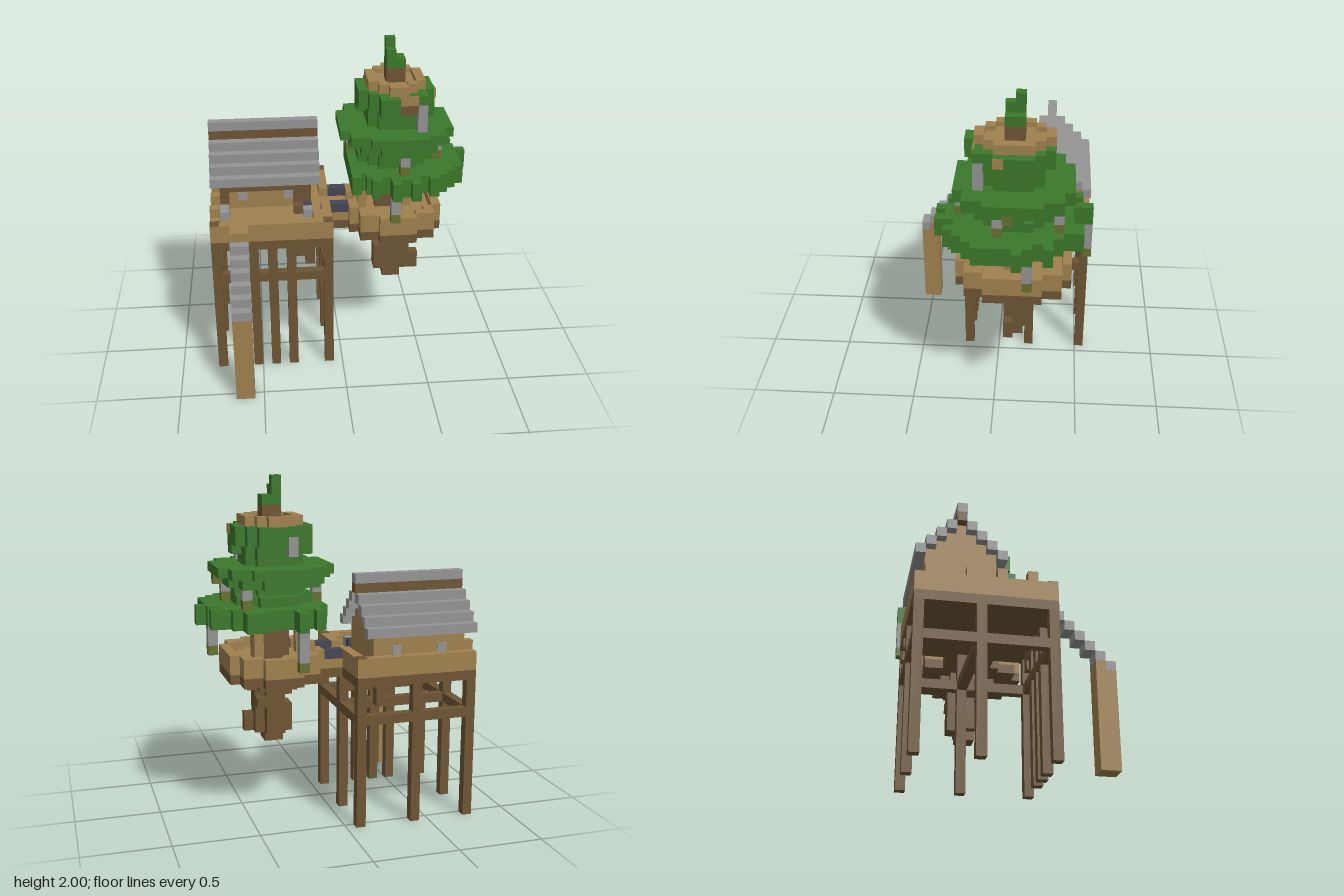
import * as THREE from 'three';
import { mergeGeometries } from 'three/addons/utils/BufferGeometryUtils.js';

const U = 1 / 18; // edge of one block
const paint = (name, color) => {
  const m = new THREE.MeshStandardMaterial({ color });
  m.name = name;
  return m;
};

export function createModel() {
  const tan = paint('plankTan', 0xa0814e), dark = paint('barkBrown', 0x6e5535), grey = paint('stoneGrey', 0x949494);
  const green = paint('leafGreen', 0x3b782b), navy = paint('railNavy', 0x454654), olive = paint('mossOlive', 0x667030);
  const model = new THREE.Group();

  // A part is a list of block ranges [x0, x1, y0, y1, z0, z1]
  const add = (name, mat, list) => {
    const geos = list.map(([x0, x1, y0, y1, z0, z1]) =>
      new THREE.BoxGeometry(x1 - x0, y1 - y0, z1 - z0)
        .translate((x0 + x1) / 2, (y0 + y1) / 2, (z0 + z1) / 2).scale(U, U, U));
    const mesh = new THREE.Mesh(mergeGeometries(geos), mat);
    mesh.name = name;
    model.add(mesh);
  };

  // Blocky oval around the tree axis, one row of blocks per z; p > 2 makes it squarer
  const CX = 6, CZ = -2;
  const half = (rx, rz, d, p) => (Math.abs(d) < rz ? Math.round(rx * (1 - (Math.abs(d) / rz) ** p) ** (1 / p)) : 0);
  const disc = (rx, rz, y0, y1, p = 2) => {
    const out = [];
    for (let z = CZ - rz; z < CZ + rz; z++) {
      const h = half(rx, rz, z + 0.5 - CZ, p);
      out.push([CX - h, CX + h, y0, y1, z, z + 1]);
    }
    return out;
  };
  // Rim one block wide around such an oval, with an optional gap on the bridge side
  const rim = (rx, rz, y0, y1, p, gap) => {
    const out = [];
    for (let z = CZ - rz; z < CZ + rz; z++) {
      const d = z + 0.5 - CZ, o = half(rx, rz, d, p), i = half(rx - 1, rz - 1, d, p);
      if (!i) { out.push([CX - o, CX + o, y0, y1, z, z + 1]); continue; }
      if (Math.abs(d) > gap) out.push([CX - o, CX - i, y0, y1, z, z + 1]);
      out.push([CX + i, CX + o, y0, y1, z, z + 1]);
    }
    return out.filter(([x0, x1]) => x1 > x0);
  };

  // Stilts and their cross beams
  const feet = [[-14, 3], [-10, 3], [-8, 3], [-6, 3], [-2, 3], [-14, -4], [-2, -4], [-14, -10], [-8, -10], [-2, -10]];
  add('stilts', dark, feet.map(([x, z]) => [x, x + 1, 0, 15, z, z + 1]));
  const beams = [];
  for (const z of [3, -4, -10]) beams.push([-14, -1, 11, 12, z, z + 1]);
  for (const x of [-14, -2]) beams.push([x, x + 1, 11, 12, -10, 4]);
  add('crossBeams', dark, beams);
  add('braces', dark, [3, -10].flatMap((z) => [[-5, -3, 14, 15, z, z + 1], [-4, -3, 13, 14, z, z + 1]]));

  // House platform with low rim
  add('platformBase', dark, [[-14, -1, 15, 16, -10, 4]]);
  add('platformFloor', tan, [[-14, -1, 16, 17, -10, 4]]);
  add('platformRim', tan, [
    [-14, -12, 17, 18, 3, 4], [-10, -1, 17, 18, 3, 4], [-14, -1, 17, 18, -10, -9],
    [-14, -13, 17, 18, -9, 3], [-2, -1, 17, 18, -9, -4], [-2, -1, 17, 18, -1, 3], [-3, -2, 17, 18, 1, 3],
    [-14, -13, 18, 19, -9, -8], [-14, -13, 18, 19, -5, -4], [-14, -13, 18, 19, -2, -1], [-14, -13, 18, 19, 1, 2]]);
  add('cornerCaps', dark, [[-14, -13, 18, 18.1, 3, 4], [-2, -1, 18, 18.1, 3, 4], [-2, -1, 18, 18.1, -10, -9]]);
  add('stoneBench', grey, [[-13, -12, 17, 18, -1, 1], [-4, -3, 17, 18, 0, 1]]);
  add('barrel', dark, [[-5, -4, 17, 18, -1, 0]]);
  add('anvil', navy, [[-4, -3, 17, 18, -1, 0]]);

  // House walls, gables and trim
  const walls = [[-13, -3, 17, 20, -9, -2]];
  for (let j = 0; j < 4; j++) walls.push([-13, -3, 20 + j, 21 + j, -9 + j, -2 - j]);
  add('houseWalls', tan, walls);
  add('frontTimber', dark, [[-13, -3, 19, 20, -2, -1.9], [-5, -3, 17, 19, -2, -1.9], [-13, -12, 17, 19, -2, -1.9]]);
  add('windows', grey, [[-11, -10, 18, 19, -2, -1.85], [-6, -5, 18, 19, -2, -1.85],
    [-11, -10, 18, 19, -9.1, -9], [-6, -5, 18, 19, -9.1, -9]]);

  // Stepped roof
  const roof = [[-14, -2, 25, 26, -6, -5]];
  for (let j = 0; j < 4; j++) {
    roof.push([-14, -2, 20 + j, 21 + j, -2 - j, -1 - j], [-14, -2, 20 + j, 21 + j, -10 + j, -9 + j]);
  }
  add('roofSteps', grey, roof);
  add('ridgeBeam', dark, [[-14, -2, 24, 25, -6, -5]]);

  // Stairs down to a tall pier
  const steps = [];
  for (let i = 0; i < 6; i++) steps.push([-12, -10, 15 - i, 16 - i, 4 + i, 5 + i]);
  add('stairs', grey, steps);
  add('stairPier', tan, [[-12, -10, 0, 11, 8, 9], [-12, -10, 0, 10, 9, 10]]);

  // Bridge to the tree
  add('bridgeBase', dark, [[-1, 1, 15, 16, -5, 0]]);
  add('bridgeFloor', tan, [[-1, 1, 16, 17, -5, 0]]);
  add('bridgeRails', navy, [[-1, 1, 17, 18, -5, -4], [-1, 1, 17, 18, -1, 0]]);

  // Oval tree deck
  add('deckBase', dark, disc(5, 6, 15, 16, 2.4));
  add('deckFloor', tan, disc(5, 6, 16, 17, 2.4));
  add('deckRim', tan, rim(5, 6, 17, 18, 2.4, 1));
  add('deckPosts', tan, [[2, 3, 17, 20, -1, 0], [2, 3, 17, 19, -5, -4]]);

  // Trunk, roots below and the crown stem
  add('trunk', dark, [[5, 7, 8, 33, -3, -1], [4, 5, 17, 21, -2, -1]]);
  add('trunkBark', tan, [[7, 8, 17, 21, -3, -1], [6, 7, 17, 20, -1, 0]]);
  add('roots', dark, [...disc(3, 3, 14, 15), ...disc(2, 2, 13, 14), [5, 8, 12, 13, -4, -1], [4, 5, 9, 12, -3, -1],
    [5, 7, 9, 12, -4, -3], [7, 8, 9, 12, -3, -1], [8, 9, 9, 11, -2, -1]]);

  // Lowest leaf layer with ragged edge: [z, x0, x1]
  const rows = [[-10, 4, 5], [-9, 2, 3], [-9, 4, 5], [-9, 8, 10], [-8, 2, 10], [-7, 2, 11], [-6, 1, 13], [-5, 1, 12],
    [-4, 1, 13], [-3, 1, 14], [-2, 1, 13], [-1, 1, 13], [0, 1, 13], [1, 1, 13], [2, 1, 12], [3, 1, 2], [3, 2.5, 11],
    [4, 3, 4], [4, 5, 8], [4, 9, 10], [5, 5, 6], [5, 7, 8]];
  add('lowerLeaves', green, rows.map(([z, x0, x1]) => [x0, x1, 21, 23, z, z + 1]));
  add('lowerLeafCore', green, [...disc(4, 4, 23, 24), ...disc(3, 3, 24, 25), [9, 10, 24, 25, -3, 0], [4, 6, 24, 25, 1, 2]]);
  add('middleLeaves', green, [...disc(5, 6, 25, 26, 2.4), ...disc(6, 6, 26, 27, 2.6)]);
  add('middleLeafCore', green, [...disc(3, 3, 27, 29), [2, 3, 28, 29, -4, -2], [9, 10, 28, 29, -2, 0]]);
  add('upperLeaves', green, [...disc(4, 4, 29, 31), [4, 6, 29, 31, 2, 3], [8, 9, 30, 31, 1, 2], [4, 5, 30, 31, -6, -5]]);

  // Small lookout near the top
  add('lookoutFloor', tan, disc(2, 3, 31, 31.5));
  add('lookoutRim', tan, rim(3, 4, 31, 32, 2, 0));
  add('lookoutPanels', tan, [[6, 8, 30, 31, 1.9, 2.1], [9.9, 10.1, 30, 31, -1, 0]]);
  add('lookoutShade', dark, [[6, 8, 29, 30, 1.9, 2.1]]);
  add('crown', green, [[5, 7, 33, 34, -3, -1], [5, 6, 34, 35, -3, -1], [5, 6, 35, 36, -3, -2]]);

  // Hanging lanterns: [x, z, bottom, top]
  const lanterns = [[5, 4, 18, 21], [12, -4, 18, 21], [4, -10, 17, 21], [1, -4, 23, 25], [6, 3, 23, 25],
    [9, -7, 23, 25], [10, -1, 23, 25]];
  add('lanterns', grey, [...lanterns.map(([x, z, b, t]) => [x, x + 1, b + 1, t, z, z + 1]),
    [8, 9, 27, 30, 1, 2], [4, 5, 28, 30, -6, -5]]);
  add('lanternMoss', olive, [...lanterns.map(([x, z, b]) => [x, x + 1, b, b + 1, z, z + 1]), [11, 12, 25, 26, -2, -1]]);

  return model;
}
